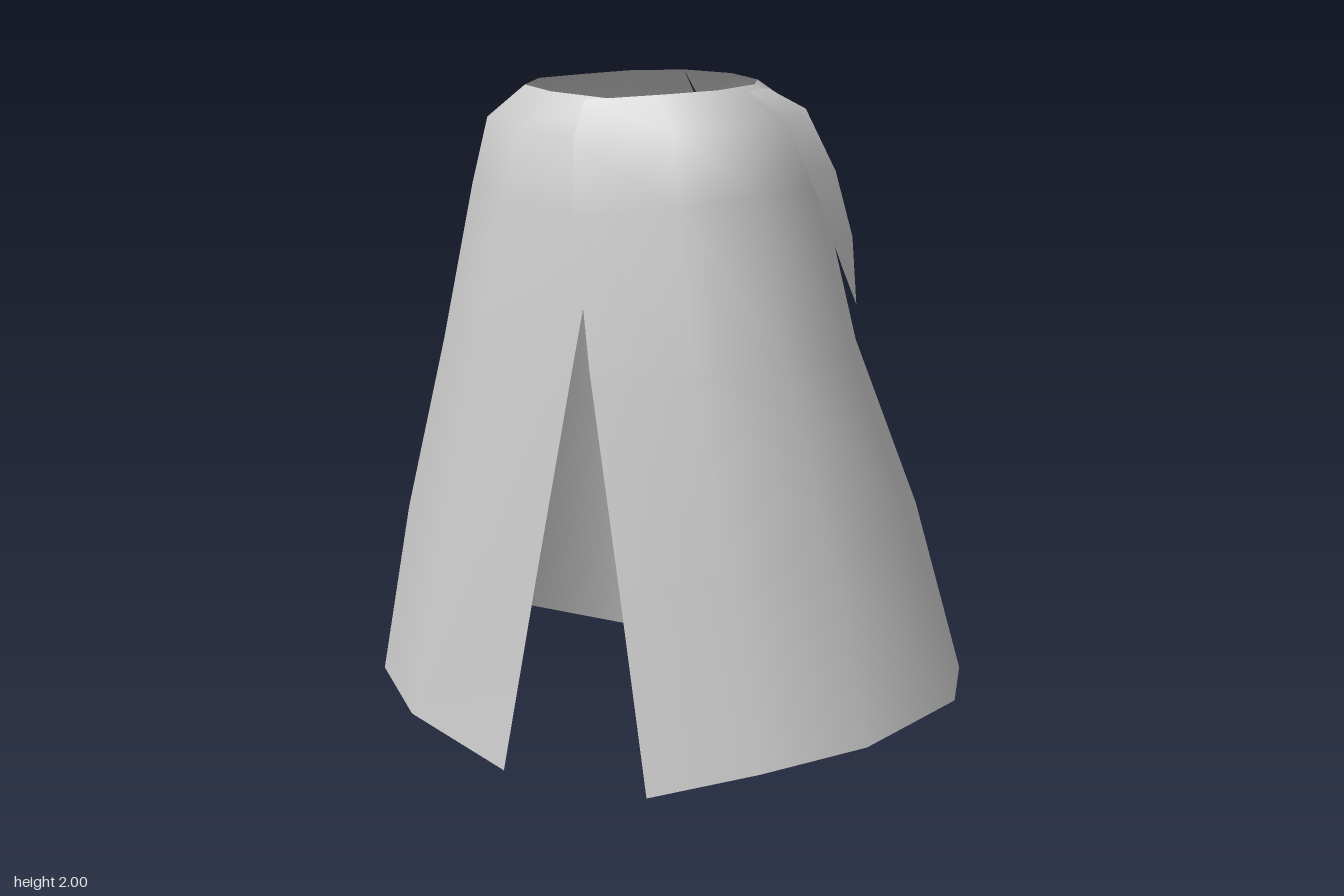
import * as THREE from 'three';

const cloth = new THREE.MeshStandardMaterial({ color: 0xcccccc, side: THREE.DoubleSide });
const lerp = THREE.MathUtils.lerp;

// Smooth open sheet lofted through rows of equally many [x, y, z] points
function sheet(name, rows, flip = false) {
  const n = rows[0].length, index = [];
  for (let r = 0; r < rows.length - 1; r++) {
    for (let c = 0; c < n - 1; c++) {
      const a = r * n + c, b = a + 1, d = a + n, e = d + 1;
      if (flip) index.push(a, d, b, b, d, e);
      else index.push(a, b, d, b, e, d);
    }
  }
  const geo = new THREE.BufferGeometry();
  geo.setAttribute('position', new THREE.Float32BufferAttribute(rows.flat(2), 3));
  geo.setIndex(index);
  geo.computeVertexNormals();
  const mesh = new THREE.Mesh(geo, cloth);
  mesh.name = name;
  return mesh;
}

// Levels from collar to hem: half width, back/front depth, heights,
// half gap of the back slit, x of the two front edges, pleat half width and depth
const levels = [
  { w: 0.35, zB: -0.10, zF: 0.43, yB: 2.00, yS: 1.98, yF: 1.94, gap: 0.000, over: -0.06, under: 0.08, pw: 0.004, pd: 0.005 },
  { w: 0.48, zB: -0.23, zF: 0.50, yB: 1.88, yS: 1.89, yF: 1.83, gap: 0.006, over: -0.06, under: 0.07, pw: 0.02, pd: 0.02 },
  { w: 0.525, zB: -0.27, zF: 0.545, yB: 1.74, yS: 1.70, yF: 1.63, gap: 0.01, over: -0.035, under: 0.04, pw: 0.04, pd: 0.03 },
  { w: 0.64, zB: -0.37, zF: 0.60, yB: 1.17, yS: 1.22, yF: 1.20, gap: 0.035, over: 0.04, under: -0.02, pw: 0.10, pd: 0.04 },
  { w: 0.81, zB: -0.57, zF: 0.66, yB: 0.63, yS: 0.70, yF: 0.60, gap: 0.085, over: 0.16, under: -0.11, pw: 0.16, pd: 0.06 },
  { w: 0.94, zB: -0.72, zF: 0.71, yB: 0.00, yS: 0.18, yF: 0.01, gap: 0.12, over: 0.27, under: -0.20, pw: 0.19, pd: 0.12 },
];

// Half outline from back to front, as fractions of width and depth
const collarX = [0, 0.49, 0.84, 1, 0.88, 0.49, 0];
const collarZ = [0, 0.06, 0.23, 0.51, 0.81, 0.98, 1];
const hemX = [0, 0.52, 0.87, 1, 0.86, 0.61, 0];
const hemZ = [0, 0.07, 0.22, 0.51, 0.775, 0.925, 1];
const rise = [0, 0.25, 0.77, 1, 0.77, 0.5, 0];

function halfRows(side) {
  return levels.map((l) => {
    const t = (l.w - 0.35) / 0.59;
    return collarX.map((cx, i) => {
      let x = side * l.w * lerp(cx, hemX[i], t);
      let z = lerp(l.zB, l.zF, lerp(collarZ[i], hemZ[i], t));
      if (i === 0) x = side * l.gap;
      if (i === 6) {
        x = side > 0 ? l.over : l.under;
        if (side < 0) z -= 0.012; // tucked under the other edge
      }
      return [x, lerp(i < 3 ? l.yB : l.yF, l.yS, rise[i]), z];
    });
  });
}

export function createModel() {
  const cloak = new THREE.Group();
  cloak.name = 'cloak';

  // Two wrapped halves
  cloak.add(sheet('leftHalf', halfRows(1), false));
  cloak.add(sheet('rightHalf', halfRows(-1), true));

  // Box pleat behind the back slit: two folded flanks and an inner panel
  const inner = (l, s) => [s * l.pw, l.yB + (l.yB < 0.1 ? 0.02 : 0), l.zB + l.pd];
  const outer = (l, s) => [s * l.gap, l.yB, l.zB];
  const pleat = new THREE.Group();
  pleat.name = 'backPleat';
  pleat.add(sheet('pleatPanel', levels.slice(1).map((l) => [inner(l, -1), inner(l, 1)])));
  for (const s of [1, -1]) {
    pleat.add(sheet(s > 0 ? 'leftPleatFlank' : 'rightPleatFlank',
      levels.slice(1).map((l) => [outer(l, s), inner(l, s)]), s < 0));
  }
  cloak.add(pleat);

  // Pointed shoulder flap standing off the left side
  cloak.add(sheet('shoulderFlap', [
    [[0.37, 1.965, 0.115], [0.375, 1.97, 0.185], [0.37, 1.965, 0.255]],
    [[0.475, 1.91, 0.09], [0.485, 1.90, 0.165], [0.48, 1.885, 0.245]],
    [[0.55, 1.73, 0.04], [0.55, 1.74, 0.13], [0.54, 1.74, 0.225]],
    [[0.595, 1.54, 0.015], [0.597, 1.55, 0.10], [0.59, 1.60, 0.20]],
    [[0.605, 1.34, 0], [0.603, 1.45, 0.10], [0.60, 1.565, 0.197]],
  ]));

  return cloak;
}
